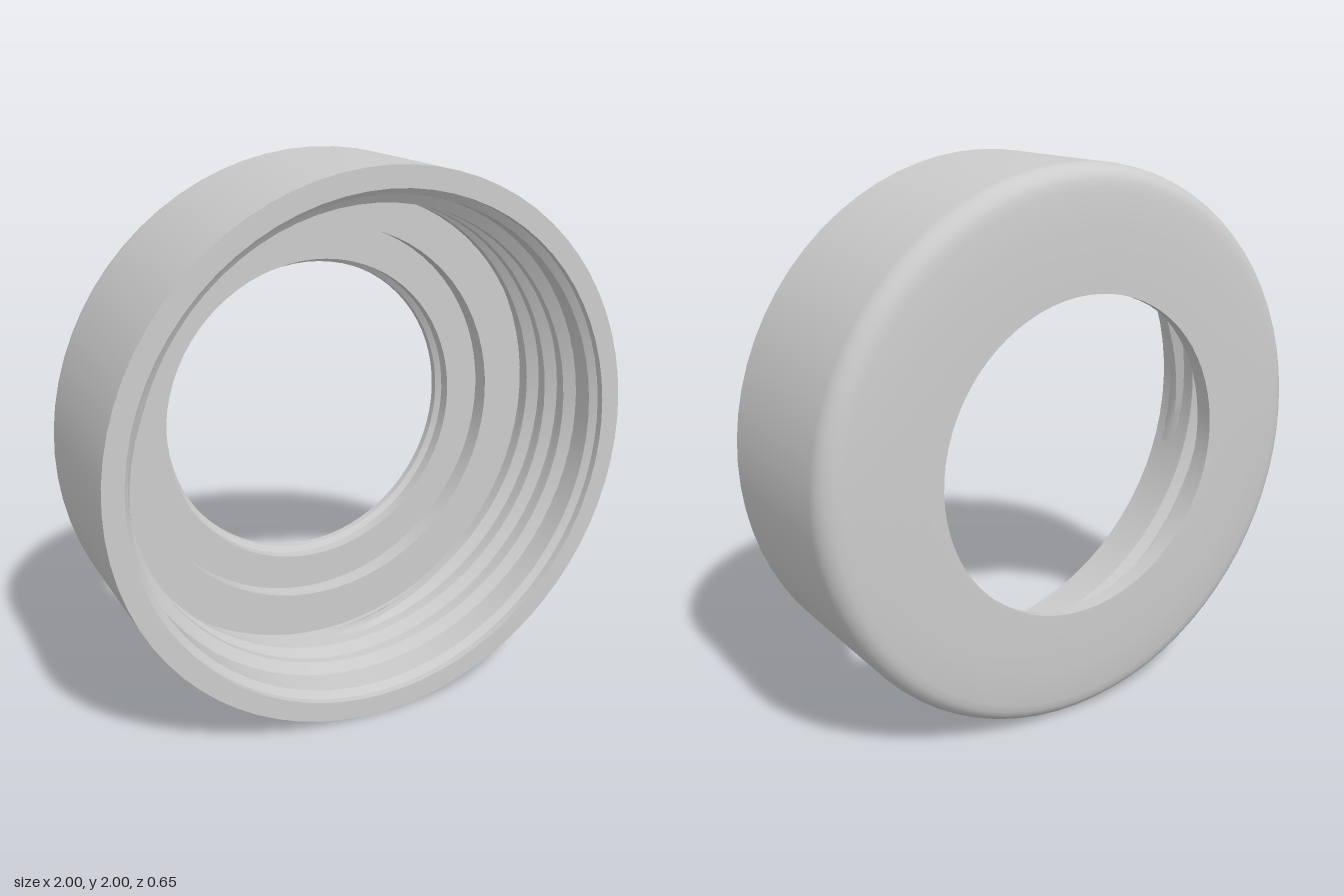
import * as THREE from 'three';
import { toCreasedNormals } from 'three/addons/utils/BufferGeometryUtils.js';

const SEGMENTS = 72;

// Turns a shape made around y so its axis lies along z, and lifts it onto the ground
function place(geometry, name, material) {
  geometry.rotateX(Math.PI / 2);
  const mesh = new THREE.Mesh(toCreasedNormals(geometry, 0.4), material);
  mesh.name = name;
  mesh.position.y = 1;
  return mesh;
}

// Closed ring profile: back face, rounded shoulder, outer wall, front rim, stepped bore
function ringGeometry() {
  const points = [[0.575, -0.327], [0.8, -0.327], [0.92, -0.315]];
  for (let i = 1; i <= 7; i++) {
    const a = (0.1 + 0.9 * i / 7) * Math.PI / 2;
    points.push([0.92 + 0.08 * Math.sin(a), -0.235 - 0.08 * Math.cos(a)]);
  }
  points.push(
    [1, 0.327], [0.925, 0.327], [0.925, 0.3], [0.9, 0.28],   // outer wall, rim, lead-in
    [0.9, -0.17], [0.73, -0.17],                             // threaded bore and first ledge
    [0.73, -0.24], [0.595, -0.24],                           // second ledge
    [0.595, -0.285], [0.575, -0.3], [0.575, -0.327]          // lip of the hole
  );
  return new THREE.LatheGeometry(points.map(([r, y]) => new THREE.Vector2(r, y)), SEGMENTS);
}

// Trapezoid ridge swept along a helix, fading into the wall at both ends
function threadGeometry() {
  const turns = 2.8, pitch = 0.12, bottom = -0.115, fade = 0.1;
  const section = [[0, 0.045], [1, 0.016], [1, -0.016], [0, -0.045]];
  const steps = Math.round(turns * SEGMENTS), n = section.length;
  const position = [], index = [];
  for (let i = 0; i <= steps; i++) {
    const t = turns * i / steps, angle = t * Math.PI * 2;
    const height = Math.min(1, t / fade, (turns - t) / fade);
    for (const [rise, dy] of section) {
      const r = 0.902 - 0.04 * rise * height;
      position.push(r * Math.sin(angle), bottom + pitch * t + dy, r * Math.cos(angle));
    }
    if (i === steps) break;
    for (let j = 0; j < n - 1; j++) {
      const a = i * n + j, b = a + n;
      index.push(a, b, a + 1, b + 1, a + 1, b);
    }
  }
  const geometry = new THREE.BufferGeometry();
  geometry.setAttribute('position', new THREE.Float32BufferAttribute(position, 3));
  geometry.setIndex(index);
  return geometry;
}

export function createModel() {
  const group = new THREE.Group();
  group.name = 'threadedRingCap';
  const material = new THREE.MeshStandardMaterial({ color: 0xcccccc });
  group.add(place(ringGeometry(), 'capRing', material));
  group.add(place(threadGeometry(), 'innerThread', material));
  return group;
}
